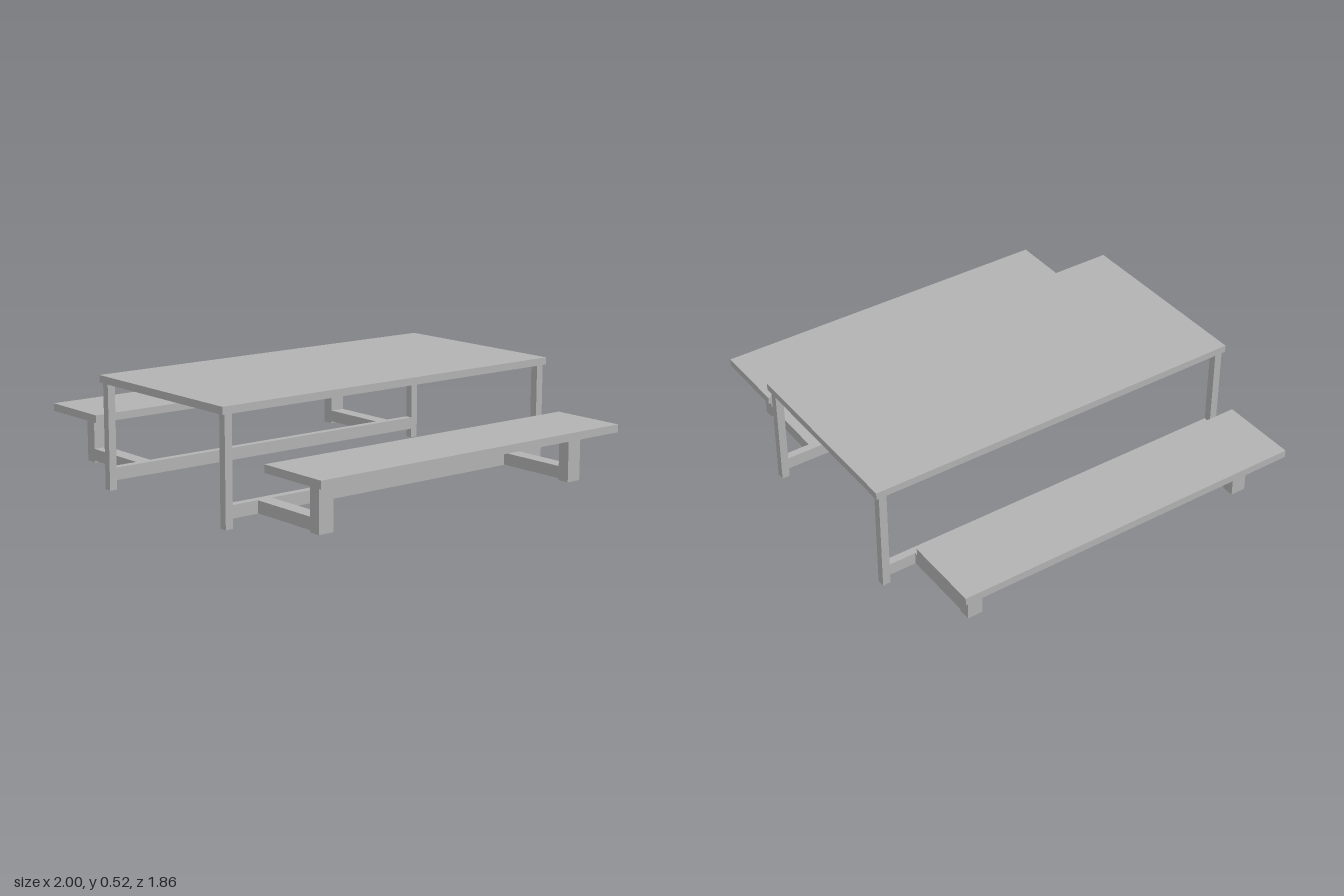
import * as THREE from 'three';

export function createModel() {
  const group = new THREE.Group();
  group.name = 'picnicTable';

  const grey = new THREE.MeshStandardMaterial({ color: 0xb2b2b2 });
  grey.name = 'grey';

  // Box given by its lower and upper limits on each axis
  function addBox(name, [x0, x1], [y0, y1], [z0, z1]) {
    const mesh = new THREE.Mesh(
      new THREE.BoxGeometry(Math.abs(x1 - x0), y1 - y0, Math.abs(z1 - z0)), grey);
    mesh.position.set((x0 + x1) / 2, (y0 + y1) / 2, (z0 + z1) / 2);
    mesh.name = name;
    group.add(mesh);
  }

  addBox('tableTop', [-0.463, 0.463], [0.489, 0.523], [-0.932, 0.932]);

  for (const sx of [-1, 1]) {
    const side = sx > 0 ? 'left' : 'right';
    const x = (a, b) => [sx * a, sx * b];

    // Bench seat and the long rail joining the legs
    addBox(side + 'Bench', x(0.633, 1), [0.266, 0.302], [-0.849, 0.849]);
    addBox(side + 'Rail', x(0.42, 0.457), [0.044, 0.102], [-0.88, 0.88]);

    for (const sz of [-1, 1]) {
      const end = side + (sz > 0 ? 'Front' : 'Back');
      const z = (a, b) => [sz * a, sz * b];

      // Table leg, arm reaching outwards, and post carrying the bench
      addBox(end + 'Leg', x(0.42, 0.457), [0, 0.489], z(0.88, 0.917));
      addBox(end + 'Arm', x(0.457, 0.807), [0.046, 0.102], z(0.677, 0.751));
      addBox(end + 'Post', x(0.807, 0.865), [0.037, 0.266], z(0.677, 0.751));
    }
  }
  return group;
}
